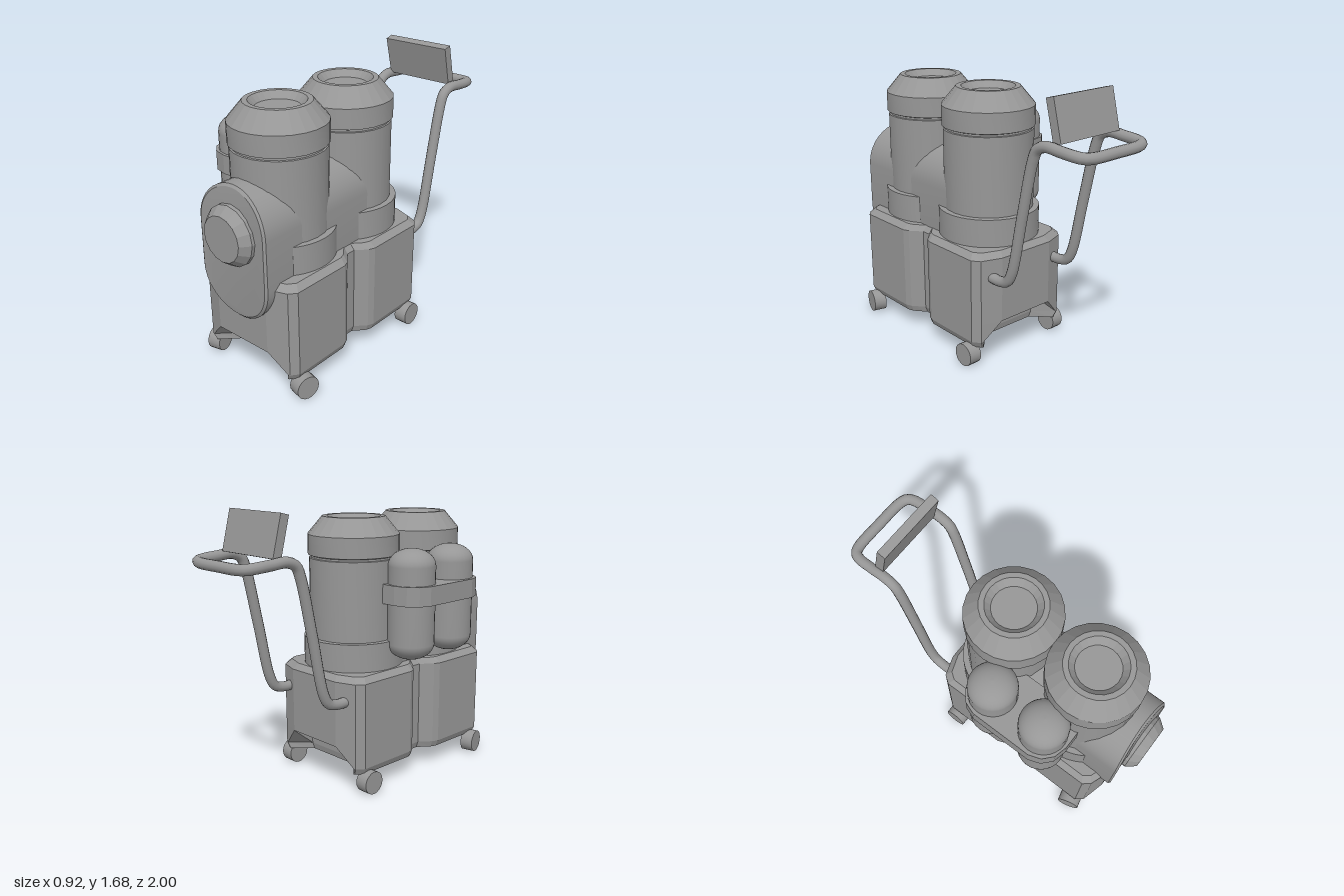
import * as THREE from 'three';
import { toCreasedNormals } from 'three/addons/utils/BufferGeometryUtils.js';

const CX = 0.058; // centre line of the main body
const flat = new THREE.MeshStandardMaterial({ color: 0x979797, flatShading: true });
const smooth = new THREE.MeshStandardMaterial({ color: 0x979797 });
const V2 = (x, y) => new THREE.Vector2(x, y);

function add(parent, name, geometry, material = flat) {
  const mesh = new THREE.Mesh(geometry, material);
  mesh.name = name;
  parent.add(mesh);
  return mesh;
}

const lathe = (points, sides) => new THREE.LatheGeometry(points.map(([r, y]) => V2(r, y)), sides);

// Extrudes a plan outline (x, z) upwards from y0 to y1
function plate(points, y0, y1) {
  const shape = new THREE.Shape(points.map(([x, z]) => V2(x, -z)));
  const g = new THREE.ExtrudeGeometry(shape, { depth: y1 - y0, bevelEnabled: false });
  return g.rotateX(-Math.PI / 2).translate(0, y0, 0);
}

// Plan outline of the base, with a wheel-arch notch in the front and back faces
function baseRing(y, notchHalf, depth, sx, sz) {
  const onFace = 0.04 * (notchHalf - 0.19) / 0.115; // follows the chamfered corner
  const half = [
    [0.19, -0.33 + depth], [notchHalf, -0.33 + onFace], [0.315, -0.288], [0.35, -0.24],
    [0.35, 0.15], [0.335, 0.187], [0.275, 0.25], [0.275, 0.31], [0.335, 0.383], [0.35, 0.42],
    [0.35, 0.8], [0.315, 0.843], [notchHalf, 0.887 - onFace], [0.19, 0.887 - depth],
  ];
  const ring = [...half, ...half.map(([x, z]) => [-x, z]).reverse()];
  return ring.map(([x, z]) => new THREE.Vector3(x * sx, y, 0.28 + (z - 0.28) * sz));
}

function baseGeometry() {
  const rings = [
    baseRing(0.12, 0.305, 0.15, 0.95, 0.98),
    baseRing(0.16, 0.305, 0.15, 1, 1),
    baseRing(0.28, 0.191, 0.15, 1, 1),
    baseRing(0.28, 0.191, 0, 1, 1),
    baseRing(0.68, 0.191, 0, 1, 1),
    baseRing(0.715, 0.191, 0, 0.9, 0.95),
  ];
  const pos = [];
  const tri = (...vs) => vs.forEach((v) => pos.push(v.x, v.y, v.z));
  for (let r = 0; r < rings.length - 1; r++) {
    const a = rings[r], b = rings[r + 1], n = a.length;
    for (let i = 0; i < n; i++) {
      const j = (i + 1) % n;
      tri(a[i], b[i], b[j]);
      tri(a[i], b[j], a[j]);
    }
  }
  for (const [ring, up] of [[rings[0], false], [rings[rings.length - 1], true]]) {
    const faces = THREE.ShapeUtils.triangulateShape(ring.map((v) => V2(v.x, v.z)), []);
    for (const [i, j, k] of faces) {
      const [a, b, c] = [ring[i], ring[j], ring[k]];
      const ny = (b.z - a.z) * (c.x - a.x) - (b.x - a.x) * (c.z - a.z);
      if ((ny > 0) === up) tri(a, b, c); else tri(a, c, b);
    }
  }
  const g = new THREE.BufferGeometry();
  g.setAttribute('position', new THREE.Float32BufferAttribute(pos, 3));
  g.computeVertexNormals();
  return g;
}

// Upright rounded housing whose front face leans back towards its top and bottom
function housingGeometry() {
  const s = new THREE.Shape();
  s.absarc(0, 0.985, 0.235, 0, Math.PI, false);
  s.absarc(0, 0.695, 0.235, Math.PI, Math.PI * 2, false);
  s.closePath();
  const g = new THREE.ExtrudeGeometry(s, {
    depth: 0.9, bevelThickness: 0.01, bevelSize: 0.014, bevelSegments: 1, curveSegments: 10,
  }).translate(0, 0, 0.02);
  const p = g.attributes.position;
  for (let i = 0; i < p.count; i++) {
    const t = Math.max(0, Math.abs(p.getY(i) - 0.84) - 0.145) / 0.25;
    if (p.getZ(i) > 0.85) p.setZ(i, p.getZ(i) - 0.022 * t * t);
  }
  return toCreasedNormals(g, 0.4);
}

// Curved collar wall between two plan angles (0 = +x, 90 degrees = back)
function collar(from, to) {
  const s = new THREE.Shape();
  s.absarc(0, 0, 0.305, from, to, false);
  s.absarc(0, 0, 0.25, to, from, true);
  s.closePath();
  const g = new THREE.ExtrudeGeometry(s, { depth: 0.184, bevelEnabled: false, curveSegments: 16 });
  return toCreasedNormals(g.rotateX(-Math.PI / 2).translate(0, 0.7, 0), 0.5);
}

export function createModel() {
  const model = new THREE.Group();
  model.name = 'twinCanisterCart';
  const body = new THREE.Group();
  body.name = 'body';
  body.position.x = CX;
  model.add(body);

  add(body, 'base', baseGeometry());

  // Two smooth canisters with faceted caps, a groove and a recessed top
  const drum = [[0, 0.6], [0.27, 0.6], [0.27, 1.36], [0.262, 1.363], [0.262, 1.374], [0.278, 1.38], [0.278, 1.5]];
  const cap = [[0.278, 1.5], [0.19, 1.605], [0.16, 1.605], [0.125, 1.565], [0, 1.565]];
  for (const [name, z] of [['rearCanister', 0.005], ['frontCanister', 0.555]]) {
    const canister = new THREE.Group();
    canister.name = name;
    canister.position.z = z;
    body.add(canister);
    add(canister, 'drum', toCreasedNormals(lathe(drum, 24), 0.5), smooth);
    add(canister, 'cap', lathe(cap, 24));
  }

  // Collars around the canister feet
  const a = 0.65;
  add(body, 'rearCollar', collar(-a, Math.PI + a), smooth).position.z = 0.005;
  add(body, 'frontCollarLeft', collar(-a, a), smooth).position.z = 0.55;
  add(body, 'frontCollarRight', collar(Math.PI - a, Math.PI + a), smooth).position.z = 0.55;

  // Rounded housing running through both canisters to the front panel
  add(body, 'frontHousing', housingGeometry(), smooth);

  // Round front lamp
  const lamp = lathe([[0, 0], [0.175, 0], [0.175, 0.035], [0.132, 0.09], [0, 0.09]], 16);
  add(body, 'frontLamp', lamp.rotateX(Math.PI / 2).translate(0, 0.955, 0.91));

  // Side bottles with domed ends
  const bottle = [];
  for (let i = 0; i <= 8; i++) {
    const t = (i / 8) * Math.PI / 2;
    bottle.push([0.142 * Math.sin(t), 0.865 - 0.1 * Math.cos(t)]);
  }
  for (let i = 8; i >= 0; i--) bottle.push([bottle[i][0], 2.195 - bottle[i][1]]);
  for (const [name, z] of [['rearBottle', 0.135], ['frontBottle', 0.483]]) {
    add(model, name, lathe(bottle, 28), smooth).position.set(-0.297, 0, z);
  }

  // Strap holding the bottles to the canisters
  const strapHalf = [[-0.1, 0.33], [-0.3, 0.33], [-0.38, 0.31], [-0.435, 0.26], [-0.46, 0.19]];
  const strap = [...strapHalf, ...strapHalf.map(([x, z]) => [x, -z]).reverse()];
  add(model, 'bottleStrap', plate(strap, 1.11, 1.225)).position.z = 0.312;

  // Wheels: rear pair straight, front pair turned outwards
  for (const side of [1, -1]) {
    for (const [name, x, z, turn] of [['rearWheel', 0.344, -0.2, 0], ['frontWheel', 0.348, 0.765, -0.24]]) {
      const wheel = new THREE.CylinderGeometry(0.07, 0.07, 0.08, 20).rotateZ(Math.PI / 2);
      const mesh = add(body, name + (side > 0 ? 'Left' : 'Right'), toCreasedNormals(wheel, 0.5), smooth);
      mesh.position.set(side * x, 0.07, z);
      mesh.rotation.y = side * turn;
    }
  }

  // Push handle, mirrored left to right
  const halfPath = [
    [0.243, 0.565, -0.29], [0.243, 0.565, -0.37], [0.243, 0.585, -0.43], [0.243, 0.65, -0.468],
    [0.243, 1.0, -0.545], [0.243, 1.33, -0.62], [0.243, 1.395, -0.65], [0.243, 1.422, -0.71],
    [0.243, 1.417, -0.82], [0.24, 1.412, -0.9], [0.223, 1.407, -0.945], [0.18, 1.403, -0.965],
  ];
  const path = [...halfPath, [0, 1.402, -0.97], ...halfPath.map(([x, y, z]) => [-x, y, z]).reverse()];
  const curve = new THREE.CatmullRomCurve3(path.map((p) => new THREE.Vector3(...p)));
  add(body, 'pushHandle', new THREE.TubeGeometry(curve, 140, 0.031, 12), smooth);

  // Tilted control screen on the handle
  const screen = add(body, 'controlScreen', new THREE.BoxGeometry(0.447, 0.24, 0.055));
  screen.position.set(-0.006, 1.555, -0.735);
  screen.rotation.x = 0.25;

  return model;
}
